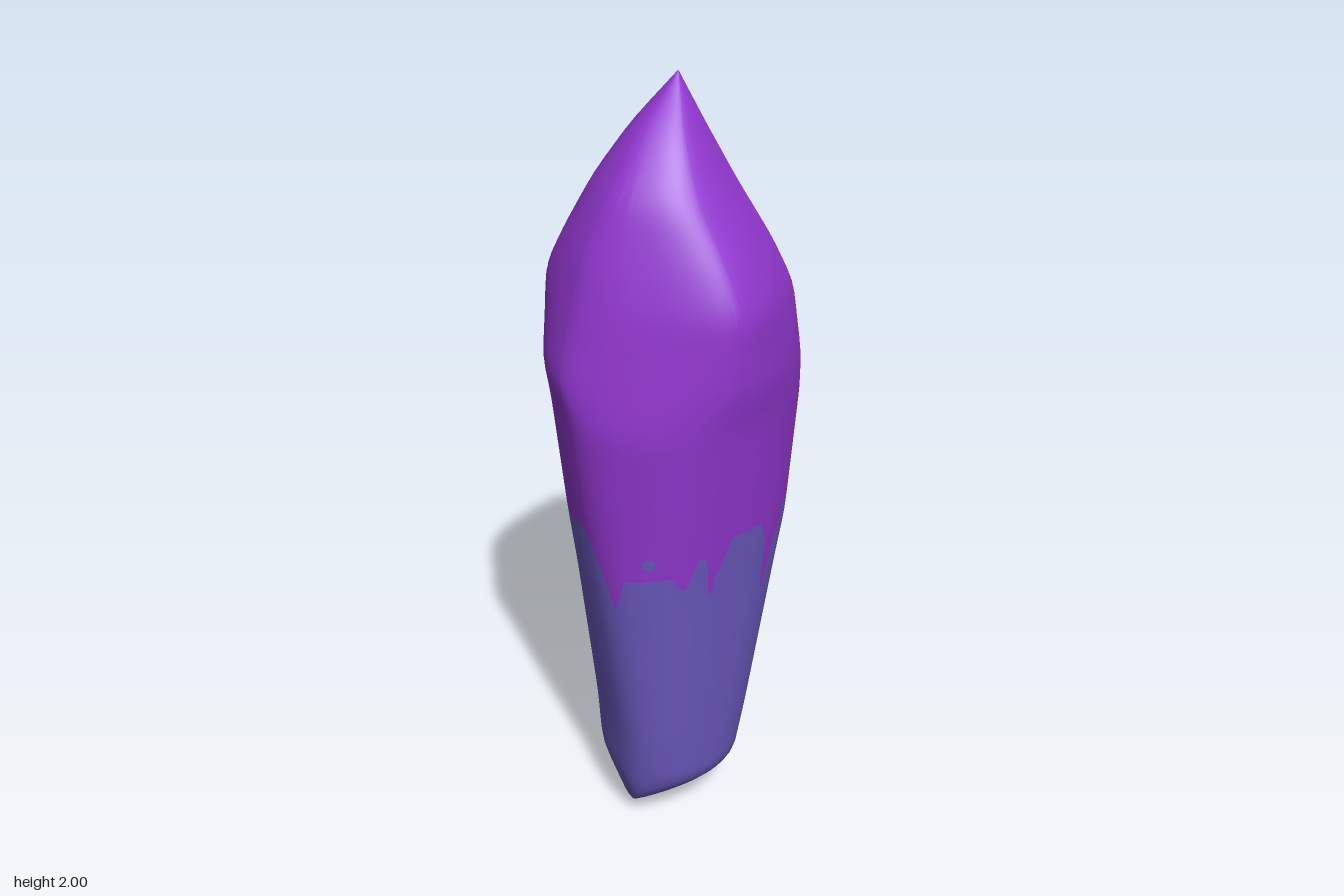
import * as THREE from 'three';

// Reach from the axis by height, in eight directions from +z round towards +x:
// [y, front, frontLeft, left, backLeft, back, backRight, right, frontRight]
const PROFILE = [
  [0, -0.08, -0.0778, -0.03, 0.0354, 0.08, 0.0778, 0.03, -0.0354],
  [0.01, -0.05, -0.055, 0, 0.05, 0.11, 0.09, 0.07, 0],
  [0.04, 0.015, 0.03, 0.055, 0.1, 0.155, 0.12, 0.13, 0.1],
  [0.1, 0.09, 0.11, 0.125, 0.14, 0.18, 0.165, 0.15, 0.15],
  [0.17, 0.155, 0.165, 0.165, 0.175, 0.195, 0.202, 0.17, 0.175],
  [0.33, 0.175, 0.19, 0.195, 0.22, 0.22, 0.213, 0.185, 0.205],
  [0.8, 0.23, 0.255, 0.26, 0.26, 0.265, 0.25, 0.25, 0.268],
  [0.92, 0.248, 0.272, 0.29, 0.285, 0.28, 0.266, 0.265, 0.28],
  [1.26, 0.298, 0.297, 0.32, 0.32, 0.318, 0.293, 0.306, 0.315],
  [1.36, 0.32, 0.3, 0.312, 0.312, 0.324, 0.298, 0.323, 0.303],
  [1.54, 0.326, 0.28, 0.283, 0.277, 0.24, 0.291, 0.282, 0.28],
  [1.64, 0.28, 0.235, 0.228, 0.243, 0.195, 0.24, 0.258, 0.255],
  [1.77, 0.2, 0.155, 0.145, 0.17, 0.115, 0.165, 0.2, 0.215],
  [1.89, 0.12, 0.085, 0.072, 0.08, 0.045, 0.08, 0.115, 0.13],
  [2, 0.02, 0.0177, 0.005, -0.0106, -0.02, -0.0177, -0.005, 0.0106],
];

// Where the section touches each side of its octagon, and how full each corner is
const CONTACT = [0.42, 0.62, 0.92, 0.08, 0.45, 0.3, 0.75, 0.4];
const FULLNESS = [0.9, 0.35, 1, 0.75, 1, 1, 1, 1];

// Dripping colour edge: [degrees from front towards +x, y]
const DRIPS = [
  [0, 0.89], [6, 0.95], [27, 0.95], [33, 0.9], [40, 0.725], [46, 0.88], [52, 0.97],
  [97, 0.96], [103, 0.84], [112, 0.83], [117, 0.93], [125, 0.965], [152, 0.955],
  [159, 0.86], [167, 0.725], [175, 0.88], [182, 0.955], [200, 0.955], [207, 0.88],
  [213, 0.74], [220, 0.87], [228, 0.94], [285, 0.965], [293, 0.88], [300, 0.77],
  [308, 0.86], [329, 0.87], [338, 0.83], [346, 0.92], [350, 0.9], [354, 0.785], [360, 0.89],
];

const SIDES = 8, PER_SIDE = 32, COLUMNS = SIDES * PER_SIDE;
const LOWER_ROWS = 32, UPPER_ROWS = 36, ROWS = LOWER_ROWS + UPPER_ROWS;

// Interpolates the rows of a table by their first value
function lookup(table, key, ease = (t) => t) {
  let i = 1;
  while (i < table.length - 1 && table[i][0] < key) i++;
  const a = table[i - 1], b = table[i];
  const t = ease(THREE.MathUtils.clamp((key - a[0]) / (b[0] - a[0]), 0, 1));
  return a.slice(1).map((v, k) => v + (b[k + 1] - v) * t);
}

// Reaches with slightly softened ridges, keeping both tips sharp
function reaches(y) {
  const w = Math.min(0.03, y * 0.3, (2 - y) * 0.3);
  const [a, b, c] = [y - w, y, y + w].map((h) => lookup(PROFILE, h));
  return b.map((v, i) => (a[i] + 2 * v + c[i]) / 4);
}

// Point on the section at height y: an octagon with rounded corners
function surfacePoint(column, y) {
  const reach = reaches(y);
  const corner = (k) => {
    const i = (k + SIDES) % SIDES, angle = i * Math.PI / 4;
    const along = Math.SQRT2 * reach[(i + 1) % SIDES] - reach[i];
    return new THREE.Vector3(
      reach[i] * Math.sin(angle) + along * Math.cos(angle), y,
      reach[i] * Math.cos(angle) - along * Math.sin(angle));
  };
  const side = Math.floor(column / PER_SIDE);
  const t = column / PER_SIDE - side;
  const middle = corner(side);
  const start = corner(side - 1).lerp(middle, CONTACT[side]);
  const end = middle.clone().lerp(corner(side + 1), CONTACT[(side + 1) % SIDES]);
  middle.lerp(start.clone().lerp(end, 0.5), 1 - FULLNESS[side]);
  return start.lerp(middle, t).lerp(middle.clone().lerp(end, t), t);
}

// Triangles of the skin between two rows, closed at the tips
function indexRows(from, to) {
  const index = [];
  for (let r = from; r < to; r++) {
    for (let c = 0; c < COLUMNS; c++) {
      const a = r * COLUMNS + c, b = r * COLUMNS + (c + 1) % COLUMNS;
      if (r > 0) index.push(a, b, b + COLUMNS);
      if (r < ROWS - 1) index.push(a, b + COLUMNS, a + COLUMNS);
    }
  }
  return index;
}

export function createModel() {
  const group = new THREE.Group();
  group.name = 'crystal';

  const tipPurple = new THREE.MeshStandardMaterial({ color: 0x9238d0 });
  tipPurple.name = 'tip purple';
  const baseViolet = new THREE.MeshStandardMaterial({ color: 0x6c5abf });
  baseViolet.name = 'base violet';

  // Height of the dripping edge at each column
  const edges = Array.from({ length: COLUMNS }, (_, c) => {
    const p = surfacePoint(c, 0.88);
    const angle = (THREE.MathUtils.radToDeg(Math.atan2(p.x, p.z)) + 360) % 360;
    return lookup(DRIPS, angle, (t) => t * t * (3 - 2 * t))[0];
  });

  // One continuous skin whose middle row follows the dripping edge
  const positions = [];
  for (let r = 0; r <= ROWS; r++) {
    edges.forEach((edge, c) => {
      const y = r <= LOWER_ROWS
        ? edge * (r / LOWER_ROWS) ** 1.6
        : edge + (2 - edge) * ((r - LOWER_ROWS) / UPPER_ROWS);
      positions.push(...surfacePoint(c, y).toArray());
    });
  }
  const skin = new THREE.BufferGeometry();
  skin.setAttribute('position', new THREE.Float32BufferAttribute(positions, 3));
  skin.setIndex(indexRows(0, ROWS));
  skin.computeVertexNormals();

  // Both halves share the skin's normals, so the colour edge stays smooth
  const addPart = (name, material, from, to) => {
    const geometry = new THREE.BufferGeometry();
    geometry.setAttribute('position', skin.getAttribute('position'));
    geometry.setAttribute('normal', skin.getAttribute('normal'));
    geometry.setIndex(indexRows(from, to));
    const mesh = new THREE.Mesh(geometry, material);
    mesh.name = name;
    group.add(mesh);
  };
  addPart('crystalBase', baseViolet, 0, LOWER_ROWS);
  addPart('crystalTip', tipPurple, LOWER_ROWS, ROWS);

  // Small loose spot above the drips, at the front right
  const spotColumn = COLUMNS - PER_SIDE * 0.75;
  const center = surfacePoint(spotColumn, 0.915);
  const run = surfacePoint(spotColumn + 1, 0.915).sub(center);
  const rise = surfacePoint(spotColumn, 0.935).sub(center);
  const normal = run.cross(rise).normalize();
  const spot = new THREE.Mesh(new THREE.CircleGeometry(0.016, 16), baseViolet);
  spot.name = 'dripSpot';
  spot.position.copy(center).addScaledVector(normal, 0.002);
  spot.quaternion.setFromUnitVectors(new THREE.Vector3(0, 0, 1), normal);
  group.add(spot);

  return group;
}
